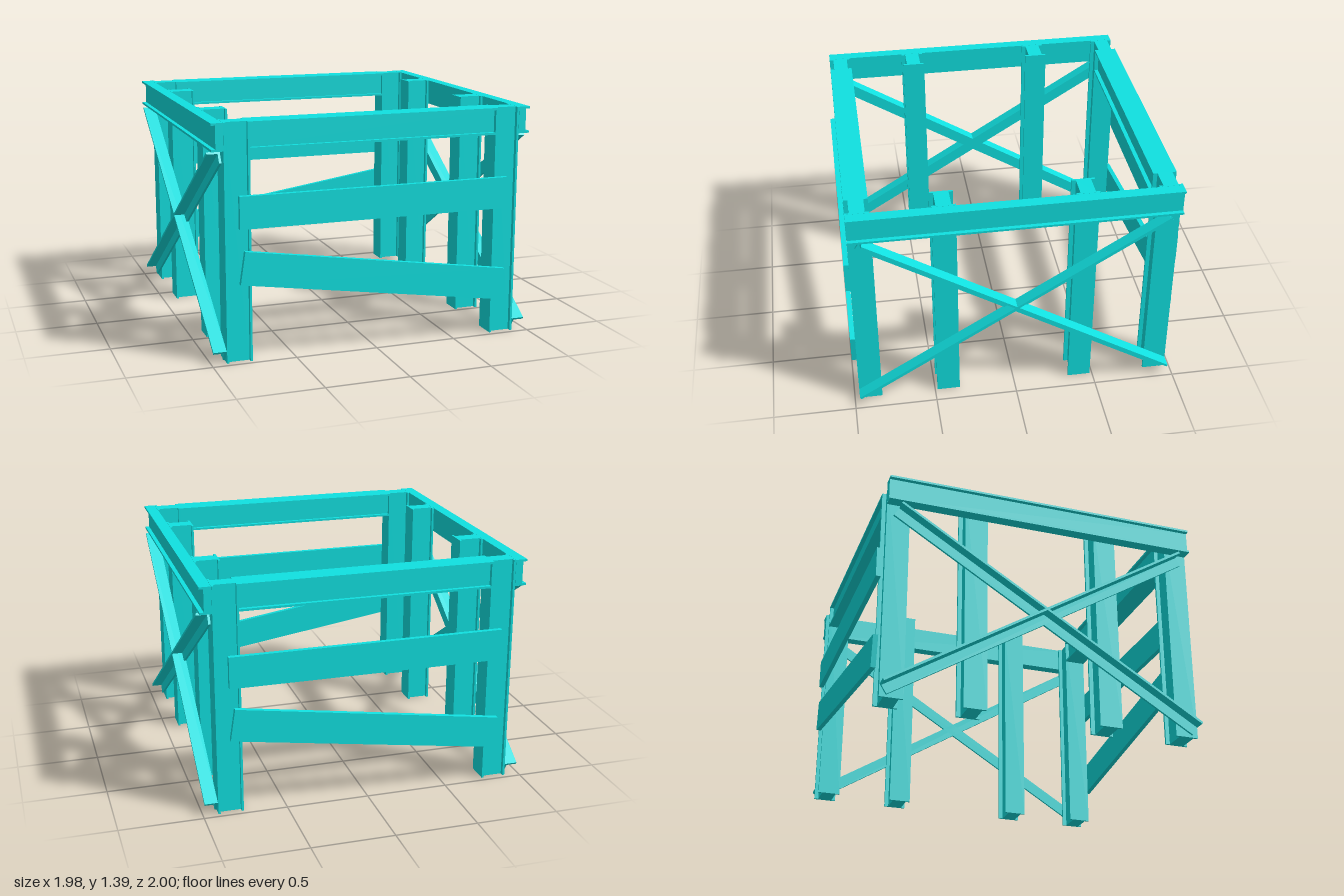
import * as THREE from 'three';

const material = new THREE.MeshStandardMaterial({ color: 0x10e0e0 });
const TOP = 1.395;
const FLANGE = 0.013; // flange thickness
const WEB = 0.045;    // half thickness of the heavy web
const HALF = 0.07;    // half flange width

// I profile: depth runs along y, flanges along x; oneSided leaves a channel
function beamShape(depth, oneSided = false) {
  const d = depth / 2, w = d - FLANGE;
  const outer = [[HALF, -d], [HALF, -w], [WEB, -w], [WEB, w], [HALF, w], [HALF, d]];
  const inner = oneSided ? [[0, d], [0, -d]] : outer.map(([x, y]) => [-x, -y]);
  return new THREE.Shape([...outer, ...inner].map(([x, y]) => new THREE.Vector2(x, y)));
}

// Extrusion centred on its own length (z)
function extrude(shape, length) {
  const g = new THREE.ExtrudeGeometry(shape, { depth: length, bevelEnabled: false });
  return g.translate(0, 0, -length / 2);
}

export function createModel() {
  const group = new THREE.Group();
  const add = (name, geometry, x, y, z) => {
    const mesh = new THREE.Mesh(geometry, material);
    mesh.name = name;
    mesh.position.set(x, y, z);
    group.add(mesh);
    return mesh;
  };

  // Posts: flanges face left and right
  const post = extrude(beamShape(0.152), TOP).rotateX(-Math.PI / 2).rotateY(Math.PI / 2);
  for (const side of [-1, 1]) {
    for (const z of [-0.9, 0.9]) add('cornerPost', post, side * 0.833, TOP / 2, z);
    for (const z of [-0.415, 0.415]) add('middlePost', post, side * 0.833, TOP / 2, z);
  }

  // Top frame: full beams front and back, channels along the sides
  const beamY = TOP - 0.08;
  const crossBeam = extrude(beamShape(0.16), 1.53).rotateY(Math.PI / 2);
  for (const z of [-0.9, 0.9]) add('crossBeam', crossBeam, 0, beamY, z);
  const channel = extrude(beamShape(0.16, true), 1.94);
  for (const side of [-1, 1]) {
    add('sideChannel', channel, side * 0.91, beamY, 0).rotation.z = side > 0 ? 0 : Math.PI;
  }

  // Front and back boards: one level, one sloping
  const board = new THREE.BoxGeometry(1.66, 0.19, 0.03);
  const slopedBoard = new THREE.BoxGeometry(1.65, 0.195, 0.03);
  for (const side of [-1, 1]) {
    add('levelBoard', board, 0, 0.885, side * 0.985);
    add('slopedBoard', slopedBoard, 0, 0.44, side * 0.985).rotation.z = -side * 0.152;
  }

  // Side cross braces: angle irons with the outward leg along the upper edge
  const t = 0.014, h = 0.036;
  const angle = (side) => {
    const pts = [[0, -h], [t, -h], [t, h - t], [0.078, h - t], [0.078, h], [0, h]];
    const s = new THREE.Shape(pts.map(([x, y]) => new THREE.Vector2(side * x, y)));
    return extrude(s, 2.187);
  };
  for (const side of [-1, 1]) {
    const brace = angle(side);
    for (const dir of [-1, 1]) {
      add('crossBrace', brace, side * 0.911, 0.617, dir * 0.02).rotation.x = dir * 0.553;
    }
  }

  return group;
}
